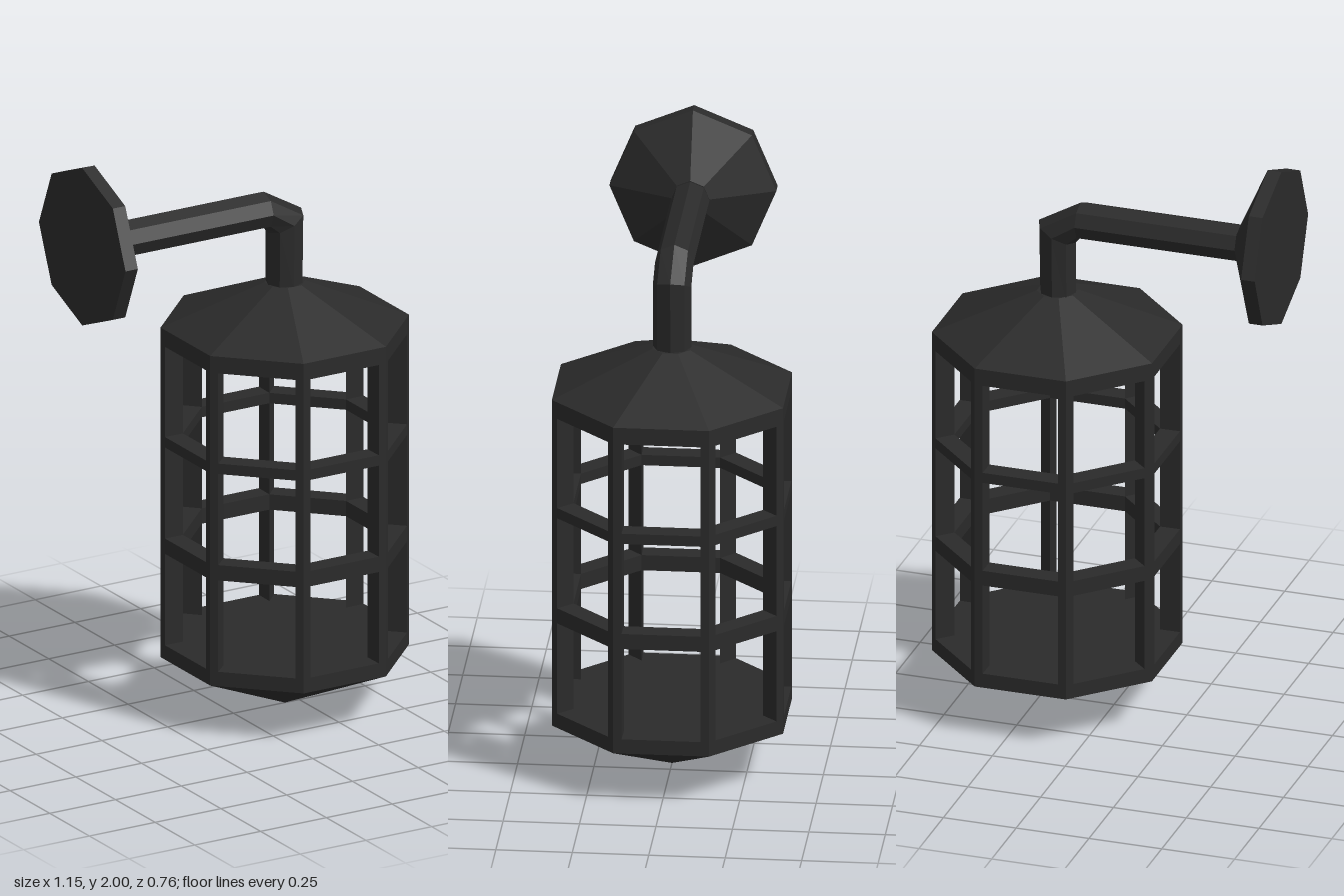
import * as THREE from 'three';

const iron = new THREE.MeshStandardMaterial({ color: 0x2a2a2a, flatShading: true });
iron.name = 'blackIron';

const SIDES = 8;
const STEP = Math.PI / 4;
const APOTHEM = 0.378;                         // lantern centre to flat side
const RADIUS = APOTHEM / Math.cos(STEP / 2);   // lantern centre to corner
const INNER = 0.31 / Math.cos(STEP / 2);       // corner of the inside of the frame
const POST = 0.027;                            // post width on each side of a corner
const LANTERN_X = 0.195;

function add(parent, name, geometry) {
  const mesh = new THREE.Mesh(geometry, iron);
  mesh.name = name;
  parent.add(mesh);
  return mesh;
}

const corner = (r, i) =>
  new THREE.Vector2(r * Math.cos((i + 0.5) * STEP), r * Math.sin((i + 0.5) * STEP));
const octagon = (r) => Array.from({ length: SIDES }, (_, i) => corner(r, i));

// Upright prism of a plan shape between two heights
function prism(shape, y0, y1) {
  return new THREE.ExtrudeGeometry(shape, { depth: y1 - y0, bevelEnabled: false })
    .rotateX(-Math.PI / 2).translate(0, y0, 0);
}

// Octagonal solid tapering between two heights, flat side to the front
function taper(rTop, rBottom, y0, y1) {
  return new THREE.CylinderGeometry(rTop, rBottom, y1 - y0, SIDES, 1, false, STEP / 2)
    .translate(0, (y0 + y1) / 2, 0);
}

// Bent octagonal pipe: each ring is [x, y, offset x, offset y] with z as its other axis
function pipe(rings, r) {
  const pos = [], index = [];
  for (const [x, y, ux, uy] of rings) {
    for (let j = 0; j < SIDES; j++) {
      const c = Math.cos(j * STEP), s = Math.sin(j * STEP);
      pos.push(x + ux * c, y + uy * c, r * s);
    }
  }
  for (let i = 0; i < rings.length - 1; i++) {
    for (let j = 0; j < SIDES; j++) {
      const a = i * SIDES + j, b = i * SIDES + (j + 1) % SIDES;
      index.push(a, b, a + SIDES, b, b + SIDES, a + SIDES);
    }
  }
  const g = new THREE.BufferGeometry();
  g.setAttribute('position', new THREE.Float32BufferAttribute(pos, 3));
  g.setIndex(index);
  const flat = g.toNonIndexed();
  flat.computeVertexNormals();
  return flat;
}

export function createModel() {
  const model = new THREE.Group();
  model.name = 'wallLantern';

  const lantern = new THREE.Group();
  lantern.name = 'lantern';
  lantern.position.x = LANTERN_X;
  model.add(lantern);

  // Roof, base point and the solid slabs closing the cage
  add(lantern, 'roof', taper(0.067, RADIUS, 1.323, 1.462));
  add(lantern, 'ceiling', taper(RADIUS, RADIUS, 1.265, 1.323));
  add(lantern, 'floor', taper(RADIUS, RADIUS, 0.18, 0.23));
  add(lantern, 'basePoint', taper(RADIUS, 0, 0, 0.18));

  // Corner posts with a kite-shaped section
  for (let i = 0; i < SIDES; i++) {
    const p = corner(RADIUS, i);
    const along = (k) => corner(RADIUS, k).sub(p).setLength(POST).add(p);
    const kite = new THREE.Shape([p, along(i + 1), corner(INNER, i), along(i - 1)]);
    add(lantern, 'post', prism(kite, 0.23, 1.265));
  }

  // Middle rails around the cage
  for (const [y0, y1] of [[0.547, 0.6], [0.916, 0.952]]) {
    const ring = new THREE.Shape(octagon(RADIUS));
    ring.holes.push(new THREE.Path(octagon(INNER)));
    add(lantern, 'rail', prism(ring, y0, y1));
  }

  // Bent arm from the wall mount down to the roof
  const r = 0.063;
  add(model, 'arm', pipe([
    [-0.45, 1.724, 0, r],
    [0.115, 1.724, 0, r],
    [0.194, 1.673, r, 0.032],
    [0.192, 1.45, r - 0.002, 0],
  ], r));

  // Wall mount: thin plate and a cone narrowing to the arm
  const mount = new THREE.Group();
  mount.name = 'wallMount';
  mount.position.set(-0.575, 1.727, 0);
  mount.rotation.z = -Math.PI / 2;
  model.add(mount);
  add(mount, 'mountPlate', new THREE.CylinderGeometry(0.273, 0.273, 0.047, SIDES).translate(0, 0.0235, 0));
  add(mount, 'mountCone', new THREE.CylinderGeometry(0.063, 0.273, 0.093, SIDES).translate(0, 0.0935, 0));

  return model;
}
